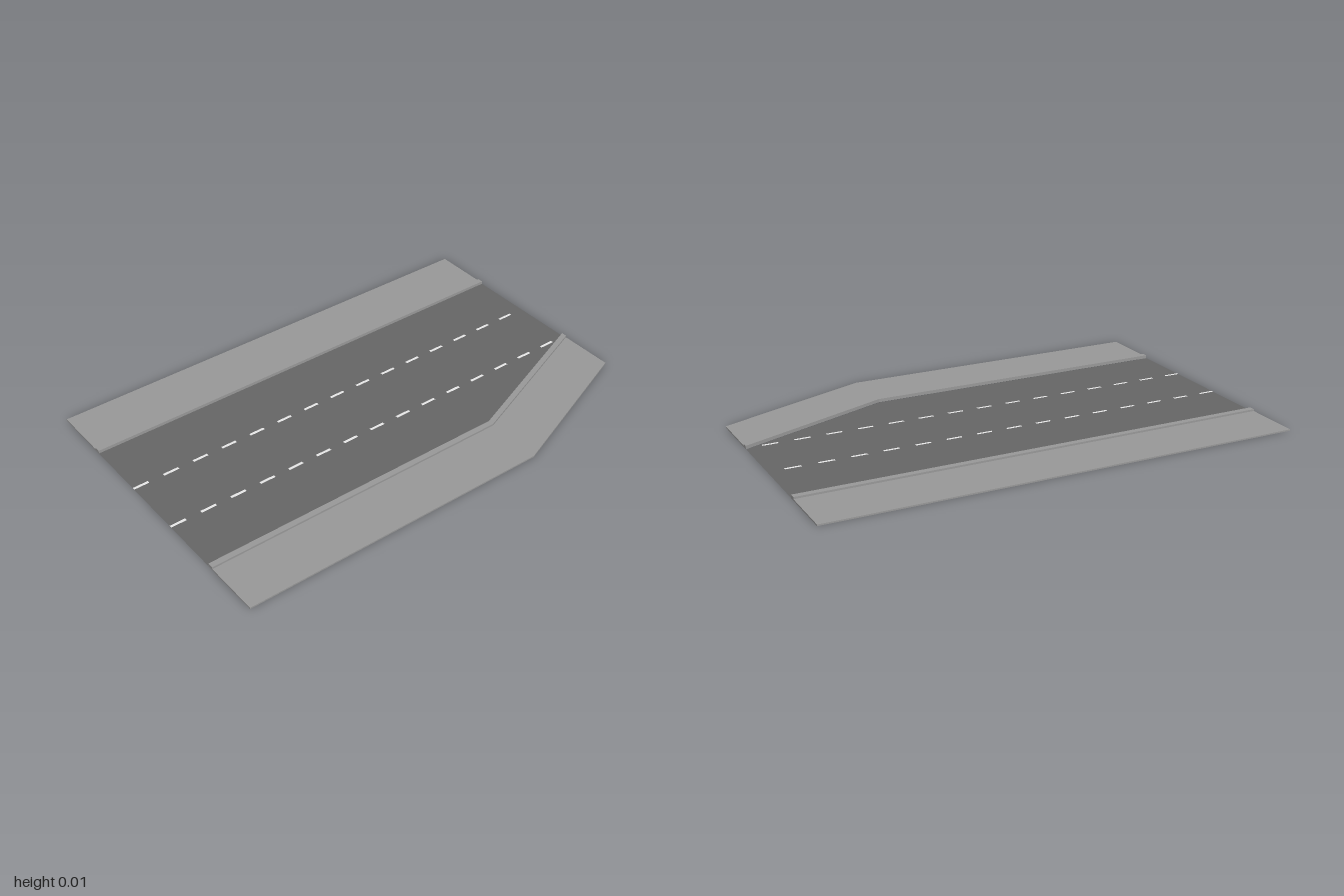
import * as THREE from 'three';

const HALF_LENGTH = 1, OUTER = 0.66, INNER = 0.396, CURB = 0.025;
const WALK_HEIGHT = 0.006, CURB_HEIGHT = 0.014, ROAD_Y = 0.001;
const BEND_Z = -0.335, TAPER = 0.266;

const asphalt = new THREE.MeshStandardMaterial({ name: 'asphalt', color: 0x666666, side: THREE.DoubleSide });
const concrete = new THREE.MeshStandardMaterial({ name: 'concrete', color: 0x999999 });
const paint = new THREE.MeshStandardMaterial({ name: 'lanePaint', color: 0xf2f2f2, side: THREE.DoubleSide });

// Flat outline given as [x, z] pairs, laid on the ground
function outline(points) {
  return new THREE.Shape(points.map(([x, z]) => new THREE.Vector2(x, -z)));
}

function slab(name, points, height) {
  const geometry = new THREE.ExtrudeGeometry(outline(points), { depth: height, bevelEnabled: false });
  geometry.rotateX(-Math.PI / 2);
  const mesh = new THREE.Mesh(geometry, concrete);
  mesh.name = name;
  return mesh;
}

// Edge path that runs straight, then tapers towards the centre at the back
const bentEdge = (x) => [[x, HALF_LENGTH], [x, BEND_Z], [x - TAPER, -HALF_LENGTH]];
const straightEdge = (x) => [[x, HALF_LENGTH], [x, -HALF_LENGTH]];
const band = (edge, a, b) => [...edge(a), ...edge(b).reverse()];

export function createModel() {
  const model = new THREE.Group();
  model.name = 'roadSection';

  // Road sheet, leaving a hairline joint beside the left curb
  const roadGeometry = new THREE.ShapeGeometry(outline(band(bentEdge, INNER - 0.005, -INNER)
    .slice(0, 3).concat([[-INNER, -HALF_LENGTH], [-INNER, HALF_LENGTH]])));
  roadGeometry.rotateX(-Math.PI / 2);
  const road = new THREE.Mesh(roadGeometry, asphalt);
  road.name = 'road';
  road.position.y = ROAD_Y;
  model.add(road);

  // Pavements with raised curbs along the road
  model.add(
    slab('leftPavement', band(bentEdge, OUTER, INNER + CURB), WALK_HEIGHT),
    slab('leftCurb', band(bentEdge, INNER + CURB, INNER), CURB_HEIGHT),
    slab('rightPavement', band(straightEdge, -INNER - CURB, -OUTER), WALK_HEIGHT),
    slab('rightCurb', band(straightEdge, -INNER, -INNER - CURB), CURB_HEIGHT),
  );

  // Dashed lane lines
  const pitch = 2 / 15;
  const dashGeometry = new THREE.PlaneGeometry(0.012, pitch / 2).rotateX(-Math.PI / 2);
  for (const x of [-0.13, 0.137]) {
    const line = new THREE.Group();
    line.name = x < 0 ? 'rightLaneLine' : 'leftLaneLine';
    for (let i = 0; i < 15; i++) {
      const dash = new THREE.Mesh(dashGeometry, paint);
      dash.name = 'dash';
      dash.position.set(x, ROAD_Y + 0.001, -HALF_LENGTH + (i + 0.75) * pitch);
      line.add(dash);
    }
    model.add(line);
  }
  return model;
}
